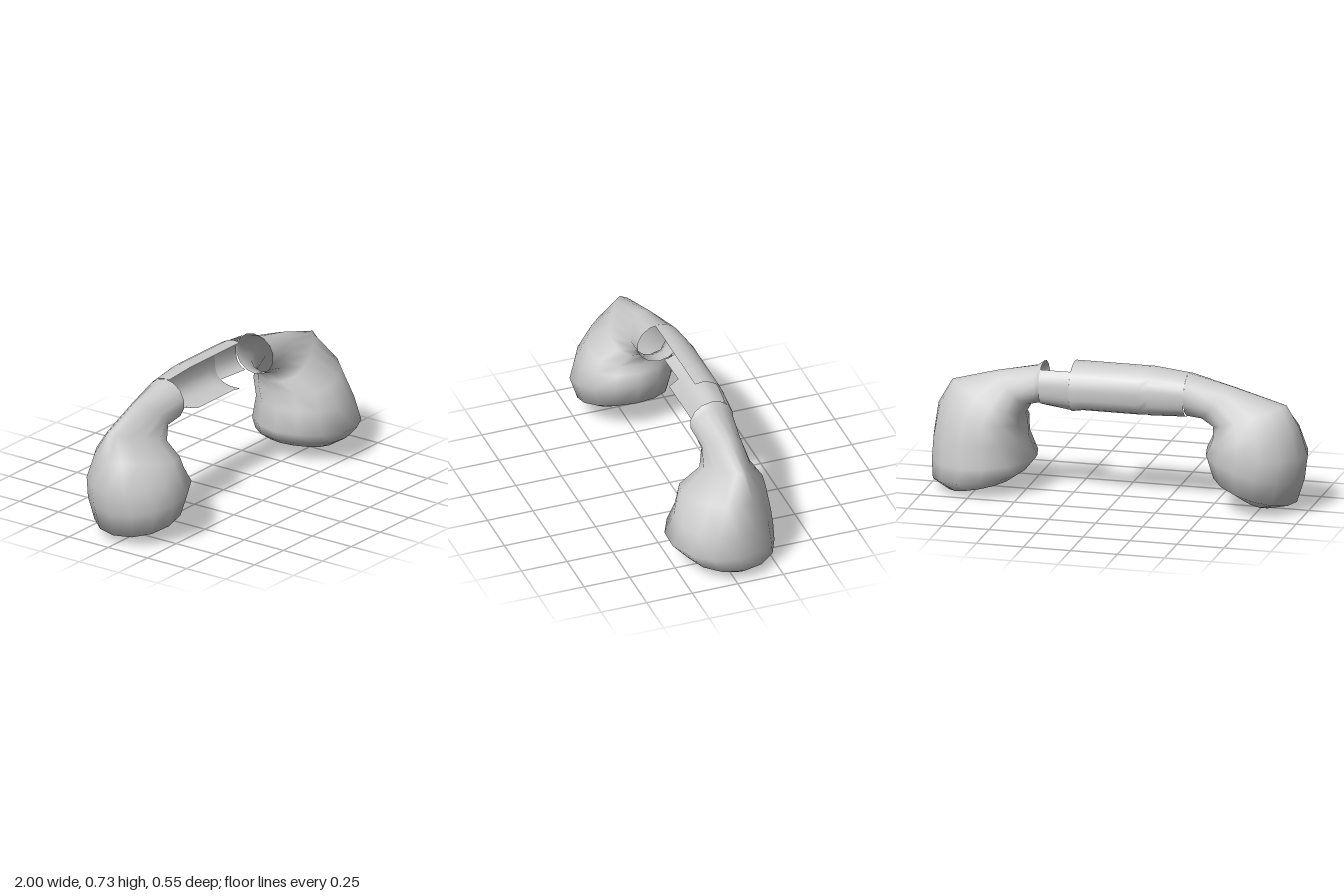
import * as THREE from 'three';

const material = new THREE.MeshStandardMaterial({ color: 0xcccccc, side: THREE.DoubleSide });
const SIDES = 14;

// Skin a list of rings (arrays of [x, y, z]) with smooth normals.
function loft(name, rings, closed, flip = false) {
  const n = rings[0].length;
  const index = [];
  for (let i = 0; i < rings.length - 1; i++) {
    for (let j = 0; j < (closed ? n : n - 1); j++) {
      const k = (j + 1) % n;
      const a = i * n + j, b = i * n + k, c = a + n, d = b + n;
      if (flip) index.push(a, c, b, b, c, d);
      else index.push(a, b, c, b, d, c);
    }
  }
  const geometry = new THREE.BufferGeometry();
  geometry.setAttribute('position', new THREE.Float32BufferAttribute(rings.flat(2), 3));
  geometry.setIndex(index);
  geometry.computeVertexNormals();
  const mesh = new THREE.Mesh(geometry, material);
  mesh.name = name;
  return mesh;
}

// Tilted section between an outer and an inner point of the side outline;
// taper narrows the outer side into a ridge.
function section([ox, oy, ix, iy, zc, hz, taper]) {
  return Array.from({ length: SIDES }, (_, j) => {
    const t = (j / SIDES) * Math.PI * 2;
    const c = Math.cos(t);
    return [
      (ox + ix + c * (ox - ix)) / 2,
      (oy + iy + c * (oy - iy)) / 2,
      zc + Math.sin(t) * hz * (1 - taper * c),
    ];
  });
}

const signedPow = (v, p) => Math.sign(v) * Math.abs(v) ** p;

// Open arc around the back of the grip, from angle lo (below) to hi (above);
// the lower half is squarer than the upper.
function arc([x, yc, ry, zc, rz, lo, hi]) {
  return Array.from({ length: 13 }, (_, j) => {
    const a = THREE.MathUtils.degToRad(lo + ((hi - lo) * j) / 12);
    const below = a < 0;
    return [
      x,
      yc + signedPow(Math.sin(a), below ? 0.7 : 1) * ry,
      zc - signedPow(Math.cos(a), below ? 0.8 : 1) * rz,
    ];
  });
}

export function createModel() {
  const group = new THREE.Group();
  group.name = 'handset';

  // outer x, outer y, inner x, inner y, centre z, half depth, taper
  const leftCup = [
    [0.385, 0.72, 0.385, 0.5, -0.085, 0.118, 0],
    [0.42, 0.695, 0.4, 0.5, -0.085, 0.113, 0.05],
    [0.64, 0.65, 0.45, 0.49, -0.085, 0.1, 0.3],
    [0.875, 0.583, 0.485, 0.43, -0.075, 0.115, 0.55],
    [0.96, 0.44, 0.485, 0.38, -0.035, 0.218, 0.25],
    [0.99, 0.27, 0.485, 0.29, -0.015, 0.252, 0.05],
    [1.0, 0.15, 0.445, 0.18, 0, 0.283, 0],
    [0.985, 0.06, 0.5, 0.11, -0.04, 0.243, 0],
    [0.9, 0.0, 0.56, 0.07, -0.05, 0.165, 0],
    [0.85, 0.02, 0.62, 0.068, -0.045, 0.13, 0],
    [0.74, 0.045, 0.74, 0.045, -0.04, 0, 0],
  ];
  const rightCup = [
    [-0.385, 0.715, -0.385, 0.49, -0.085, 0.118, 0],
    [-0.62, 0.66, -0.46, 0.485, -0.085, 0.102, 0.25],
    [-0.9, 0.575, -0.51, 0.45, -0.065, 0.13, 0.5],
    [-0.96, 0.45, -0.51, 0.4, -0.035, 0.215, 0.25],
    [-1.0, 0.3, -0.49, 0.36, -0.02, 0.248, 0.05],
    [-0.98, 0.17, -0.46, 0.3, -0.005, 0.27, 0],
    [-0.94, 0.045, -0.5, 0.175, -0.01, 0.235, 0],
    [-0.81, 0.01, -0.6, 0.11, -0.01, 0.13, 0],
    [-0.71, 0.06, -0.71, 0.06, -0.01, 0, 0],
  ];
  group.add(loft('leftCupAndNeck', leftCup.map(section), true));
  group.add(loft('rightCupAndNeck', rightCup.map(section), true, true));

  // Grip: open-fronted shell, cut back at its left end
  // x, centre y, height radius, centre z, depth radius, lower angle, upper angle
  const grip = [
    [-0.385, 0.603, 0.112, -0.085, 0.118, -80, 100],
    [-0.2, 0.61, 0.125, -0.09, 0.128, -80, 105],
    [-0.15, 0.61, 0.125, -0.09, 0.129, -102, 105],
    [0.16, 0.61, 0.125, -0.09, 0.129, -102, 105],
    [0.22, 0.605, 0.13, -0.09, 0.128, -102, 105],
  ];
  const gripEnd = [
    [0.22, 0.605, 0.13, -0.09, 0.128, -50, 47],
    [0.385, 0.61, 0.11, -0.085, 0.118, -65, 50],
  ];
  group.add(loft('gripShell', grip.map(arc), false));
  group.add(loft('gripBackStrip', gripEnd.map(arc), false));

  return group;
}
